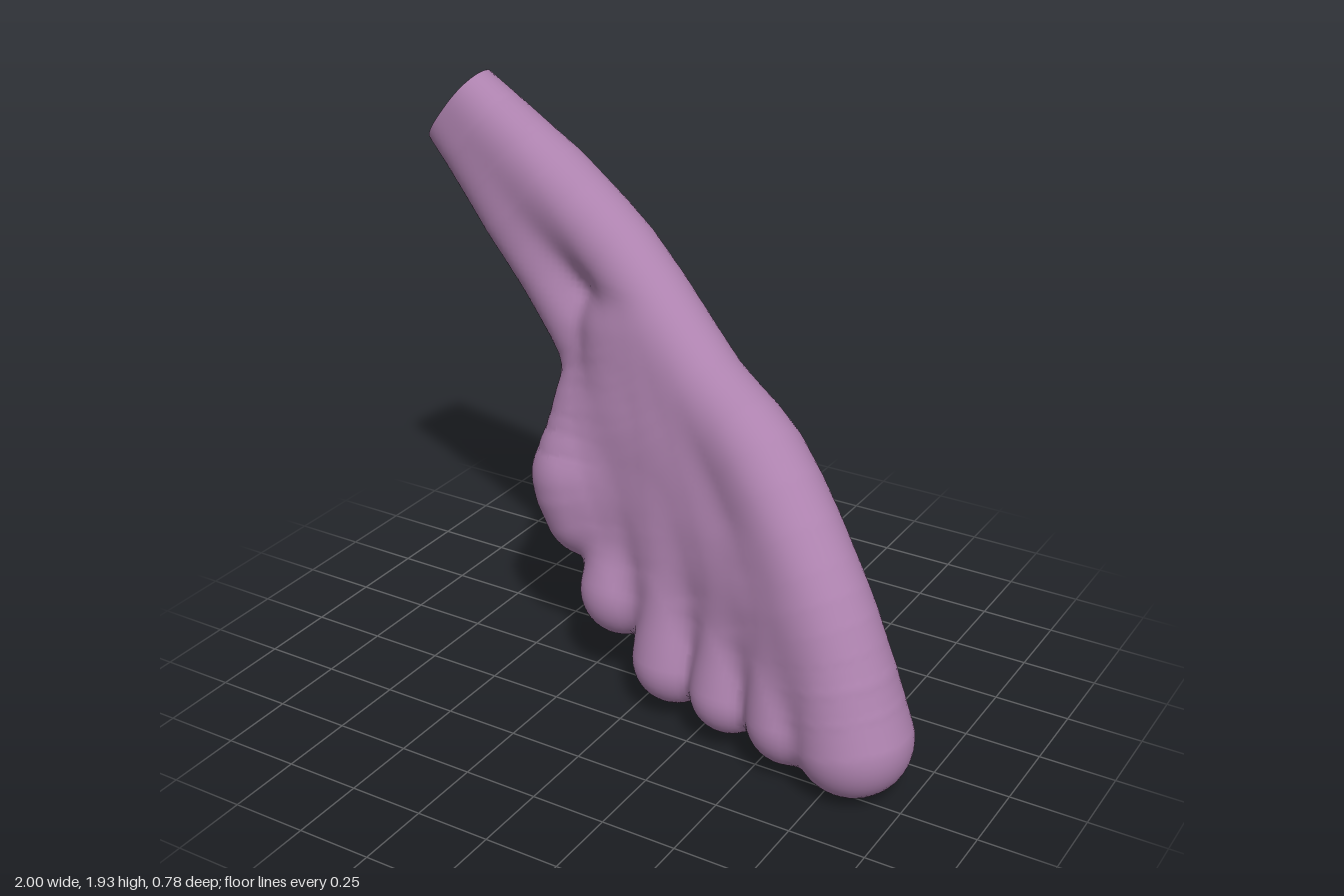
import * as THREE from 'three';

// Upper edge of the arm, down the outside of the palm to the big toe: [x, y, z, radius]
const outerEdge = [[-.974, 1.959, -.22, .09], [-.857, 1.865, -.22, .09], [-.56, 1.6, -.255, .13],
  [-.28, 1.4, -.225, .13], [.13, 1.1, -.06, .13], [.38, .95, .04, .145], [.62, .67, .15, .15],
  [.73, .46, .19, .16], [.81, .19, .21, .187]];

// Lower edge of the arm, down the inside of the palm to the little toe
const innerEdge = [[-1.06, 1.849, -.22, .09], [-.943, 1.755, -.22, .09], [-.71, 1.46, -.25, .115],
  [-.5, 1.2, -.25, .12], [-.375, 1, -.23, .12], [-.345, .82, -.16, .145], [-.35, .66, -.09, .178],
  [-.31, .55, -.09, .175]];
const littlePad = [[-.32, .85, -.2, .13], [-.27, .67, -.2, .165], [-.28, .6, -.17, .165]];

// Middle toes: a bone from the heel of the palm over the knuckle to the tip, and a pad behind it
function middleToe([kx, ky, kz], [tx, ty, tz], r) {
  const fromHeel = t => [kx + (-.3 - kx) * t, ky + (1.35 - ky) * t, kz + (-.24 - kz) * t];
  return [
    [[...fromHeel(.75), .09], [...fromHeel(.45), .125], [kx, ky, kz, .13], [tx, ty, tz, r]],
    [[kx - .06, ky + .16, kz - .1, .11], [kx, ky - .06, kz - .06, .135],
      [tx, ty + .07, tz - .1, r - .005], [tx, ty, tz - .04, r]],
  ];
}

const chains = [
  outerEdge, innerEdge, littlePad,
  ...middleToe([.53, .5, .14], [.6, .185, .215], .142),
  ...middleToe([.34, .5, .08], [.36, .18, .17], .13),
  ...middleToe([.1, .5, .03], [.12, .19, .105], .14),
  ...middleToe([-.13, .55, -.065], [-.13, .33, .015], .145),
];

// Rounds a chain's corners with a curve through its points
function smoothChain(points) {
  const curve = new THREE.CatmullRomCurve3(points.map(p => new THREE.Vector3(p[0], p[1], p[2])));
  const spans = points.length - 1, steps = spans * 3;
  return Array.from({ length: steps + 1 }, (_, i) => {
    const s = Math.min(Math.floor(i / 3), spans - 1);
    return [...curve.getPoint(i / steps).toArray(), THREE.MathUtils.lerp(points[s][3], points[s + 1][3], i / 3 - s)];
  });
}
const bones = chains.map(smoothChain);

// Flat cut at the wrist
const cutNormal = new THREE.Vector3(-.78, .62, 0).normalize();
const cutPoint = new THREE.Vector3(-.9, 1.81, -.22);

// Distance to a tapered rod
function rod(x, y, z, a, b) {
  const dx = b[0] - a[0], dy = b[1] - a[1], dz = b[2] - a[2];
  const px = x - a[0], py = y - a[1], pz = z - a[2];
  const t = Math.min(1, Math.max(0, (px * dx + py * dy + pz * dz) / (dx * dx + dy * dy + dz * dz)));
  const ex = px - t * dx, ey = py - t * dy, ez = pz - t * dz;
  return Math.sqrt(ex * ex + ey * ey + ez * ez) - a[3] - t * (b[3] - a[3]);
}

// All bones fused: softly in the palm, with tighter creases between the toes
function field(x, y, z) {
  const low = y + .5 * Math.min(x, 0);
  const k = THREE.MathUtils.lerp(.045, .14, THREE.MathUtils.smoothstep(low, .15, .65));
  let d = Infinity;
  for (const bone of bones) {
    let e = Infinity;
    for (let i = 1; i < bone.length; i++) e = Math.min(e, rod(x, y, z, bone[i - 1], bone[i]));
    const h = Math.max(0, k - Math.abs(d - e));
    d = Math.min(d, e) - h * h / (4 * k);
  }
  return d;
}

function gradient(p) {
  const e = .006;
  return new THREE.Vector3(
    field(p.x + e, p.y, p.z) - field(p.x - e, p.y, p.z),
    field(p.x, p.y + e, p.z) - field(p.x, p.y - e, p.z),
    field(p.x, p.y, p.z + e) - field(p.x, p.y, p.z - e)).normalize();
}

// Wraps the fused bones in a regular quad skin; returns the skin and the wrist cap
function buildSkin() {
  const cell = .022, min = [-1.25, -.12, -.55], n = [112, 106, 52];
  const step = [1, n[0], n[0] * n[1]];
  const values = new Float32Array(n[0] * n[1] * n[2]).fill(1);
  const each = (from, fn) => {
    for (let k = from; k < n[2] - 1; k++)
      for (let j = from; j < n[1] - 1; j++)
        for (let i = from; i < n[0] - 1; i++) fn(i, j, k, i + j * step[1] + k * step[2]);
  };
  each(0, (i, j, k, id) => {
    values[id] = field(min[0] + i * cell, min[1] + j * cell, min[2] + k * cell);
  });

  // One vertex in every cell the surface crosses, pulled onto the surface
  const vertexOf = new Int32Array(values.length).fill(-1);
  const positions = [], normals = [], capNormals = [], beyond = [];
  each(0, (i, j, k, id) => {
    let inside = 0;
    for (let c = 0; c < 8; c++)
      if (values[id + (c & 1) + (c >> 1 & 1) * step[1] + (c >> 2) * step[2]] < 0) inside++;
    if (inside === 0 || inside === 8) return;
    const p = new THREE.Vector3(min[0] + (i + .5) * cell, min[1] + (j + .5) * cell, min[2] + (k + .5) * cell);
    for (let s = 0; s < 3; s++) p.addScaledVector(gradient(p), -field(p.x, p.y, p.z));
    const over = p.clone().sub(cutPoint).dot(cutNormal);
    if (over > 0) p.addScaledVector(cutNormal, -over);
    vertexOf[id] = beyond.length;
    beyond.push(over > 0);
    positions.push(p.x, p.y, p.z);
    normals.push(...gradient(p).toArray());
    capNormals.push(...cutNormal.toArray());
  });

  // One quad across every grid edge that passes through the surface
  const skin = [], cap = [];
  each(1, (i, j, k, id) => {
    for (let axis = 0; axis < 3; axis++) {
      const a = values[id] < 0, b = values[id + step[axis]] < 0;
      if (a === b) continue;
      const u = step[(axis + 1) % 3], v = step[(axis + 2) % 3];
      const q = [id - u - v, id - v, id, id - u].map(c => vertexOf[c]);
      if (b) q.reverse();
      const target = q.every(c => beyond[c]) ? cap : skin;
      target.push(q[0], q[1], q[2], q[0], q[2], q[3]);
    }
  });

  const make = (index, normalList) => {
    const g = new THREE.BufferGeometry();
    g.setAttribute('position', new THREE.Float32BufferAttribute(positions, 3));
    g.setAttribute('normal', new THREE.Float32BufferAttribute(normalList, 3));
    g.setIndex(index);
    return g;
  };
  return [make(skin, normals), make(cap, capNormals)];
}

export function createModel() {
  const purple = new THREE.MeshStandardMaterial({ color: 0xad82ae });
  purple.name = 'dusty purple';

  const [skinGeometry, capGeometry] = buildSkin();
  const skin = new THREE.Mesh(skinGeometry, purple);
  skin.name = 'palmAndToes';
  const cap = new THREE.Mesh(capGeometry, purple);
  cap.name = 'wristEnd';

  // Stand it on the ground, centred
  const box = new THREE.Box3().setFromBufferAttribute(skinGeometry.attributes.position);
  const centre = box.getCenter(new THREE.Vector3());
  for (const g of [skinGeometry, capGeometry]) g.translate(-centre.x, -box.min.y, -centre.z);

  const group = new THREE.Group();
  group.name = 'foot';
  group.add(skin, cap);
  return group;
}
